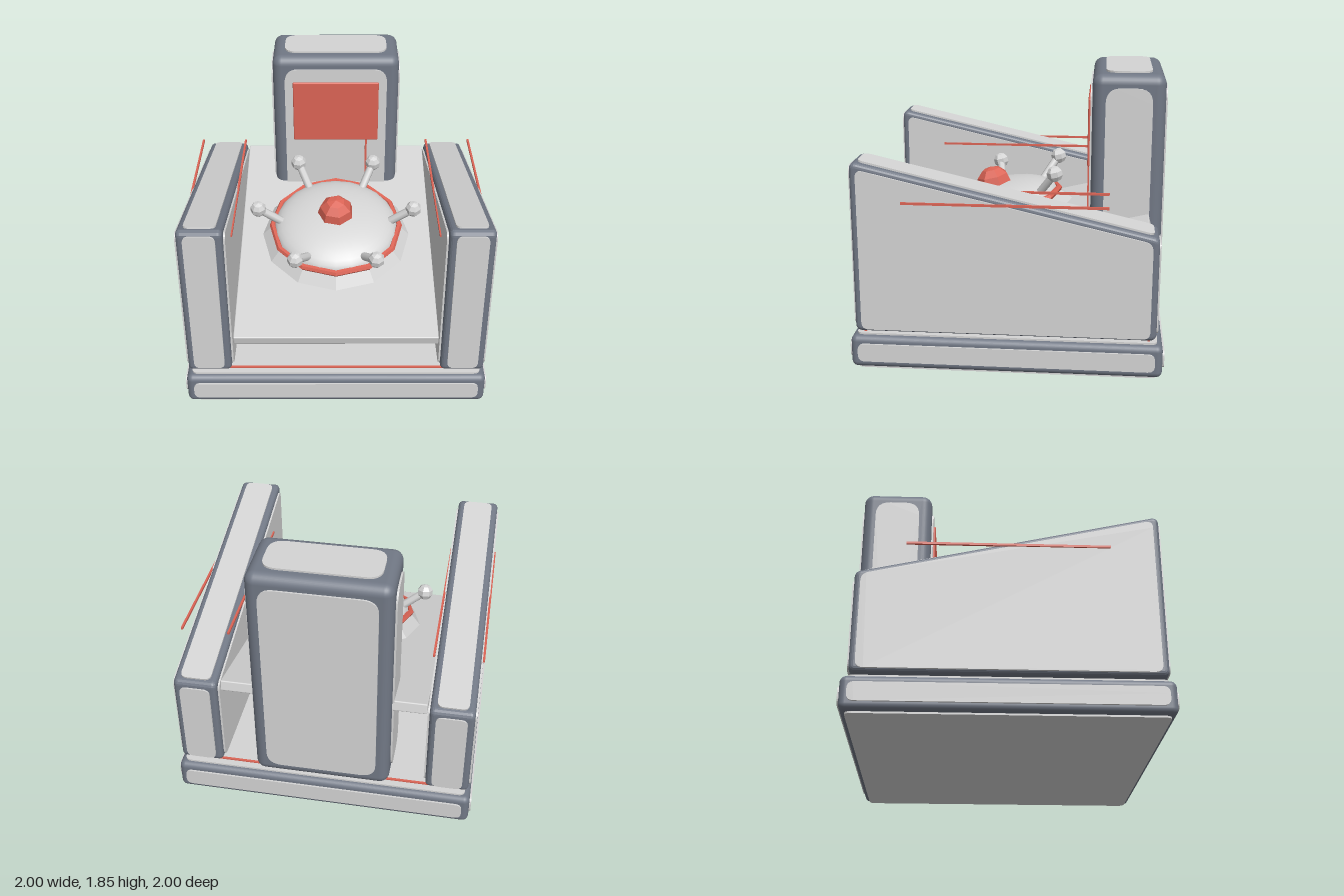
import * as THREE from 'three';
import { RoundedBoxGeometry } from 'three/addons/geometries/RoundedBoxGeometry.js';

const mat = (name, color, flatShading = false) => {
  const m = new THREE.MeshStandardMaterial({ color, flatShading });
  m.name = name;
  return m;
};

export function createModel() {
  const root = new THREE.Group();
  root.name = 'consoleStation';
  const light = mat('light grey', 0xd4d4d4);
  const dark = mat('slate grey', 0x717885);
  const red = mat('coral red', 0xdb6455);

  const add = (parent, name, geo, material, pos = [0, 0, 0], rot = [0, 0, 0]) => {
    const m = new THREE.Mesh(geo, material);
    m.name = name;
    m.position.set(...pos);
    m.rotation.set(...rot);
    parent.add(m);
    return m;
  };
  const group = (name, parent = root) => {
    const g = new THREE.Group();
    g.name = name;
    parent.add(g);
    return g;
  };

  // Polygon with every corner rounded by radius r
  const roundedShape = (pts, r) => {
    const s = new THREE.Shape();
    const v = pts.map(p => new THREE.Vector2(...p));
    v.forEach((p, i) => {
      const towards = q => p.clone().add(q.clone().sub(p).setLength(r));
      const a = towards(v[(i + v.length - 1) % v.length]);
      const b = towards(v[(i + 1) % v.length]);
      if (i) s.lineTo(a.x, a.y); else s.moveTo(a.x, a.y);
      s.quadraticCurveTo(p.x, p.y, b.x, b.y);
    });
    s.closePath();
    return s;
  };
  const rect = (w, h) => [[-w / 2, -h / 2], [w / 2, -h / 2], [w / 2, h / 2], [-w / 2, h / 2]];
  const T = 0.012; // panel thickness
  const plate = (pts, r) => new THREE.ExtrudeGeometry(roundedShape(pts, r), { depth: T, bevelEnabled: false, curveSegments: 6 });

  // Rounded dark frame with a light panel on each of its six faces
  const framedBox = (name, [w, h, d], pos, radius, inset, capInset, r) => {
    const g = group(name);
    g.position.set(...pos);
    add(g, name + 'Frame', new RoundedBoxGeometry(w, h, d, 4, radius), dark);
    const H = Math.PI / 2;
    const face = (n, a, b, i, p, rot) => add(g, name + n + 'Panel', plate(rect(a - 2 * i, b - 2 * i), r), light, p, rot);
    face('Front', w, h, inset, [0, 0, d / 2], [0, 0, 0]);
    face('Back', w, h, inset, [0, 0, -d / 2], [0, Math.PI, 0]);
    face('Left', d, h, inset, [w / 2, 0, 0], [0, H, 0]);
    face('Right', d, h, inset, [-w / 2, 0, 0], [0, -H, 0]);
    face('Top', w, d, capInset, [0, h / 2, 0], [-H, 0, 0]);
    face('Bottom', w, d, capInset, [0, -h / 2, 0], [H, 0, 0]);
  };
  framedBox('base', [1.976, 0.215, 1.976], [0, 0.12, 0], 0.04, 0.048, 0.035, 0.045);
  framedBox('tower', [0.895, 1.58, 0.47], [0, 1.045, -0.745], 0.065, 0.085, 0.085, 0.1);

  // Red trim lines on the base
  for (const s of [1, -1])
    add(root, 'baseTrim', new THREE.BoxGeometry(1.86, 0.014, 0.016), red, [0, 0.241, s * 0.9]);

  // Screen and its cable
  add(root, 'screen', new RoundedBoxGeometry(0.61, 0.455, 0.03, 2, 0.008), red, [0, 1.428, -0.498]);
  add(root, 'screenCable', new THREE.BoxGeometry(0.014, 0.4, 0.014), red, [0.22, 1.02, -0.492]);

  // Sloping side walls
  const slope = Math.atan(0.44 / 1.9);
  const B = 0.03;
  const wallShape = roundedShape([[-0.915, 0.285], [0.925, 0.285], [0.925, 1.327], [-0.915, 0.901]], 0.012);
  const sidePts = [[-0.905, 0.275], [0.912, 0.275], [0.912, 1.318], [-0.905, 0.897]];
  for (const s of [1, -1]) {
    const g = group(s > 0 ? 'leftWall' : 'rightWall');
    g.position.x = s * 0.829;
    const body = new THREE.ExtrudeGeometry(wallShape, {
      depth: 0.285 - 2 * B, bevelThickness: B, bevelSize: B, bevelSegments: 4, curveSegments: 4,
    });
    body.translate(0, 0, -(0.285 - 2 * B) / 2).rotateY(-Math.PI / 2);
    add(g, 'wallFrame', body, dark);
    for (const x of [0.1425 + T, -0.1425])
      add(g, 'wallSidePanel', plate(sidePts, 0.05), light, [x, 0, 0], [0, -Math.PI / 2, 0]);
    add(g, 'wallFrontPanel', plate(rect(0.2, 1.04), 0.045), light, [0, 0.81, 0.954]);
    add(g, 'wallBackPanel', plate(rect(0.2, 0.6), 0.045), light, [0, 0.585, -0.944], [0, Math.PI, 0]);
    add(g, 'wallTopPanel', plate(rect(0.2, 1.87), 0.045), light, [0, 1.1445, 0], [-Math.PI / 2 - slope, 0, 0]);
    // Red rails on both faces of the wall
    for (const x of [0.157, -0.157])
      add(g, 'wallRail', new THREE.BoxGeometry(0.014, 0.015, 1.27), red, [x, 1.115, 0]);
  }

  // Tilted deck
  const tilt = 0.235;
  add(root, 'deck', new RoundedBoxGeometry(1.34, 0.07, 1.85, 2, 0.008), light, [0, 0.68, 0], [tilt, 0, 0]);

  // Saucer resting on the deck
  const saucer = group('saucer');
  saucer.position.set(0, 0.78, 0.12);
  saucer.rotation.x = tilt;
  const flatLight = mat('light grey faceted', 0xd4d4d4, true);
  const flatRed = mat('coral red faceted', 0xdb6455, true);
  const flatDark = mat('slate grey faceted', 0x717885, true);
  add(saucer, 'hullUnderside', new THREE.CylinderGeometry(0.51, 0.3, 0.085, 12), flatDark, [0, -0.0425, 0]);
  add(saucer, 'hullTop', new THREE.CylinderGeometry(0.43, 0.51, 0.09, 12), flatLight, [0, 0.045, 0]);
  add(saucer, 'hullRing', new THREE.TorusGeometry(0.438, 0.022, 6, 12), flatRed, [0, 0.09, 0], [Math.PI / 2, 0, 0]);
  const domePts = [];
  for (let i = 0; i <= 10; i++) {
    const a = (i / 10) * Math.PI / 2;
    domePts.push(new THREE.Vector2(Math.max(0.425 * Math.cos(a), 0), 0.08 + 0.145 * Math.sin(a)));
  }
  add(saucer, 'dome', new THREE.LatheGeometry(domePts, 24), light);
  add(saucer, 'domeLamp', new THREE.SphereGeometry(0.125, 7, 6), flatRed, [0, 0.213, 0]);

  // Six knobbed arms around the dome
  const up = new THREE.Vector3(0, 1, 0);
  for (let i = 0; i < 6; i++) {
    const a = i * Math.PI / 3;
    const at = (r, h) => new THREE.Vector3(r * Math.cos(a), h, r * Math.sin(a));
    const from = at(0.35, 0.115), to = at(0.53, 0.255);
    const dir = to.clone().sub(from);
    const arm = add(saucer, 'arm', new THREE.CylinderGeometry(0.028, 0.028, dir.length(), 8), light,
      from.clone().add(to).multiplyScalar(0.5).toArray());
    arm.quaternion.setFromUnitVectors(up, dir.normalize());
    add(saucer, 'armKnob', new THREE.SphereGeometry(0.056, 7, 5), flatLight, to.toArray());
  }
  return root;
}
